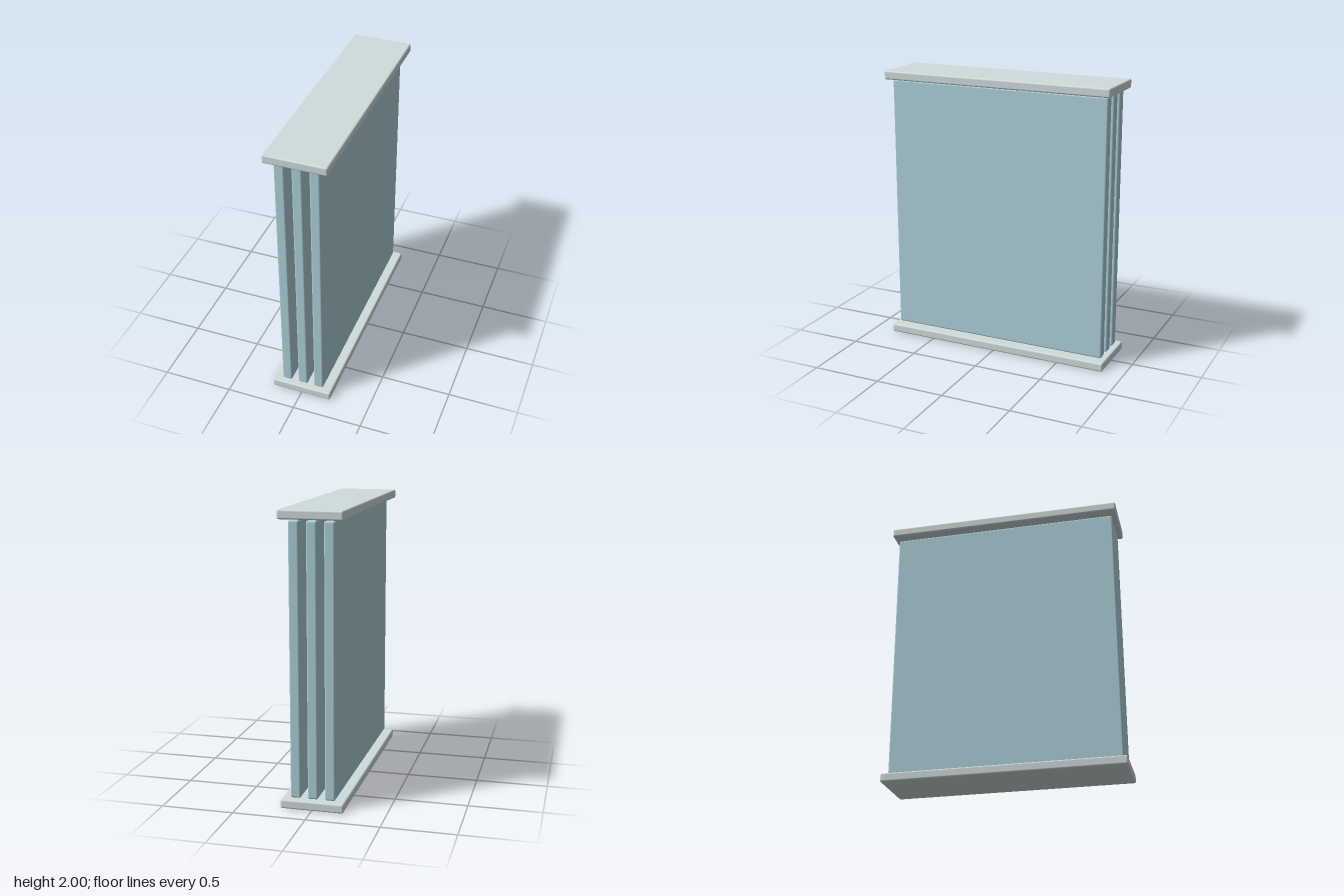
import * as THREE from 'three';
import { RoundedBoxGeometry } from 'three/addons/geometries/RoundedBoxGeometry.js';

const railMaterial = new THREE.MeshStandardMaterial({ color: 0xd0dcdc });
const panelMaterial = new THREE.MeshStandardMaterial({ color: 0xaed0da });

// Slab with softly rounded edges, centred on (x, y, 0)
function slab(name, material, [width, height, depth], x, y) {
  const mesh = new THREE.Mesh(new RoundedBoxGeometry(width, height, depth, 2, 0.012), material);
  mesh.name = name;
  mesh.position.set(x, y, 0);
  return mesh;
}

export function createModel() {
  const model = new THREE.Group();
  model.name = 'panelStack';

  // Top and bottom rails
  const railSize = [0.434, 0.062, 1.696];
  model.add(slab('bottomRail', railMaterial, railSize, 0, 0.031));
  model.add(slab('topRail', railMaterial, railSize, 0, 1.969));

  // Three upright panels, with a thin gap to each rail
  ['rightPanel', 'middlePanel', 'leftPanel'].forEach((name, i) => {
    model.add(slab(name, panelMaterial, [0.07, 1.86, 1.63], (i - 1) * 0.119, 1));
  });

  return model;
}
